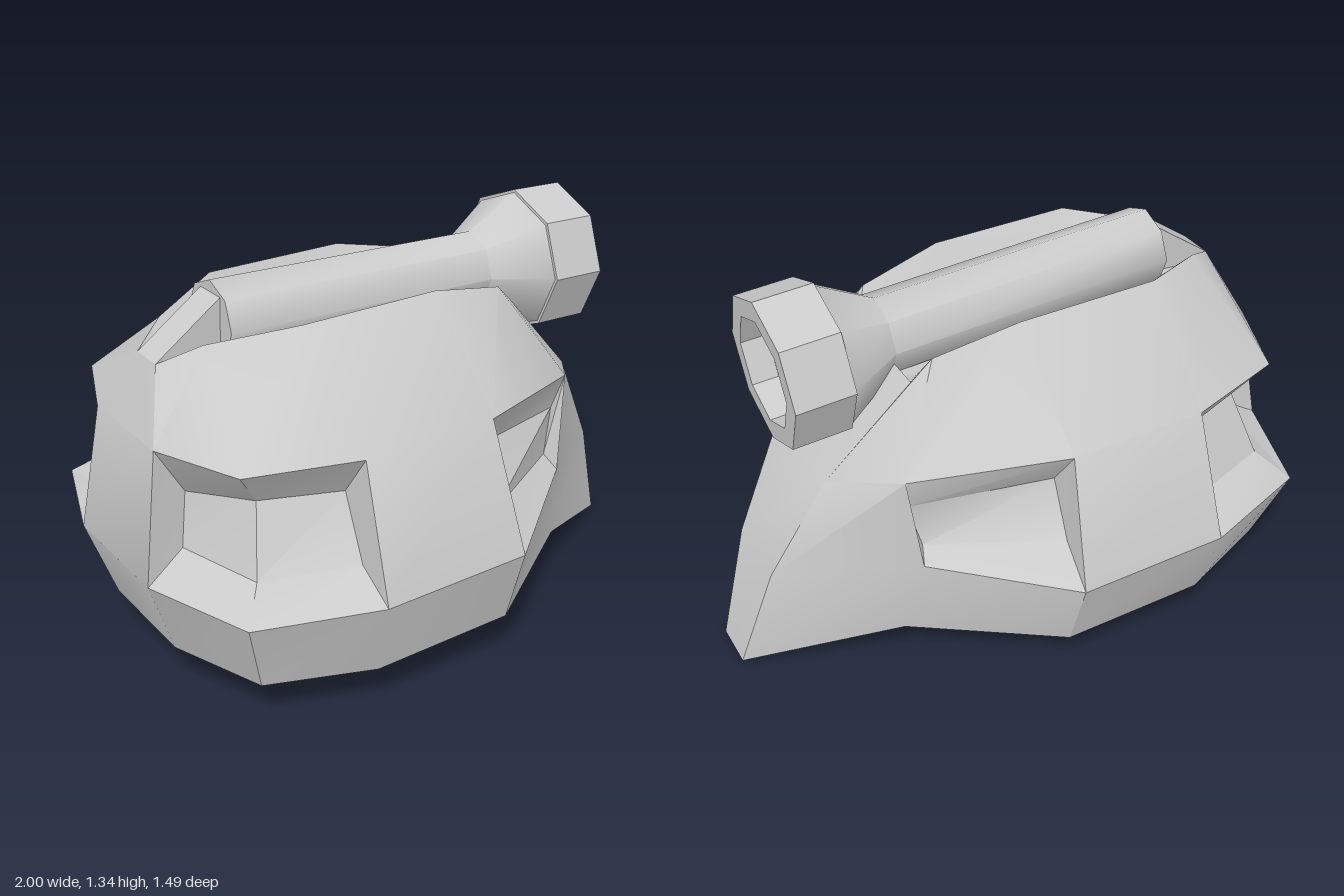
import * as THREE from 'three';
import { toCreasedNormals } from 'three/addons/utils/BufferGeometryUtils.js';

const material = new THREE.MeshStandardMaterial({ color: 0xcccccc });

function addMesh(parent, name, geometry) {
  const mesh = new THREE.Mesh(geometry, material);
  mesh.name = name;
  parent.add(mesh);
  return mesh;
}

// Half of the hull, one cross-section per station from stern to prow.
// Rows: keel, chine, beam, shoulder, ridge, groove; then recess bottom and top.
const [KEEL, CHINE, BEAM, SHOULDER, RIDGE, GROOVE, LOW, HIGH] = [0, 1, 2, 3, 4, 5, 6, 7];
const half = [
  [[-.44, .06, .22], [-.91, .16, .2], [-1, .43, .23], [-.93, .86, .19], [-.84, 1.07, .06], [-.8, 1.04, .05], [-.86, .51, .2], [-.83, .69, .18]],
  [[-.44, .06, .22], [-.79, .16, .53], [-.87, .43, .61], [-.81, .86, .49], [-.72, 1.13, .14], [-.66, 1.05, .08], [-.78, .515, .51], [-.72, .73, .42]],
  [[-.44, .06, .22], [-.45, .16, .665], [-.47, .43, .745], [-.45, .86, .6], [-.46, 1.18, .28], [-.46, 1, .17], [-.47, .515, .61], [-.46, .72, .505]],
  [[.06, .06, .22], [.06, .16, .665], [.06, .43, .745], [.03, .86, .6], [.04, 1.18, .28], [.04, 1, .17], [.05, .54, .61], [.04, .72, .505]],
  [[.06, .06, .22], [.52, .18, .37], [.47, .475, .43], [.51, .81, .4], [.33, 1.12, .245], [.33, 1, .14], [.45, .52, .38], [.49, .68, .36]],
  [[1, 0, .08], [1, 0, .08], [.88, .38, .13], [.69, .74, .19], [.4, 1.05, .235], [.42, 1, .12]],
];

function hullGeometry() {
  // Closed loop of stations: left side forward, right side back
  const mirrored = half.map((s) => s.map(([x, y, z]) => [x, y, -z])).reverse();
  const loop = [...half, ...mirrored];
  const n = loop.length;
  const positions = [];
  const tri = (...p) => {
    const [a, b, c] = p.map((q) => new THREE.Vector3(...q));
    if (b.sub(a).cross(c.sub(a)).length() > 1e-6) positions.push(...p.flat());
  };
  const quad = (a, b, c, d) => { tri(a, b, c); tri(a, c, d); };
  const band = (i, lower, upper) => {
    const s = loop[i], t = loop[(i + 1) % n];
    quad(s[lower], t[lower], t[upper], s[upper]);
  };

  // Outer skin
  for (let i = 0; i < n; i++) {
    for (let row = KEEL; row < GROOVE; row++) if (row !== BEAM) band(i, row, row + 1);
  }
  // Solid panels between the window recesses
  for (const i of [2, 4, 5, 6, 8, 11]) band(i, BEAM, SHOULDER);

  // Window recesses: sill, floor, lintel and end walls
  for (const [first, last] of [[0, 2], [3, 4], [7, 8], [9, 11]]) {
    for (let i = first; i < last; i++) {
      band(i, BEAM, LOW);
      band(i, LOW, HIGH);
      band(i, HIGH, SHOULDER);
    }
    const s = loop[first], e = loop[last];
    quad(s[BEAM], s[LOW], s[HIGH], s[SHOULDER]);
    quad(e[SHOULDER], e[HIGH], e[LOW], e[BEAM]);
  }

  // Underside and floor of the barrel groove
  for (let i = 0; i < 5; i++) {
    const s = loop[i], t = loop[i + 1], sm = loop[n - 1 - i], tm = loop[n - 2 - i];
    quad(sm[KEEL], tm[KEEL], t[KEEL], s[KEEL]);
    quad(s[GROOVE], t[GROOVE], tm[GROOVE], sm[GROOVE]);
  }

  const geometry = new THREE.BufferGeometry();
  geometry.setAttribute('position', new THREE.Float32BufferAttribute(positions, 3));
  return toCreasedNormals(geometry, 0.5);
}

// Eight-sided turned part along +x, from [radius, distance] pairs
function turned(profile, crease) {
  const points = profile.map(([r, d]) => new THREE.Vector2(r, d));
  const geometry = new THREE.LatheGeometry(points, 8).rotateZ(-Math.PI / 2);
  return toCreasedNormals(geometry, crease);
}

export function createModel() {
  const model = new THREE.Group();
  model.name = 'turret';
  addMesh(model, 'hull', hullGeometry());

  // Wedge behind the barrel
  const wedge = new THREE.Shape([
    new THREE.Vector2(-.84, 1.07), new THREE.Vector2(-.6, 1), new THREE.Vector2(-.6, 1.24),
  ]);
  const fairing = new THREE.ExtrudeGeometry(wedge, { depth: .12, bevelEnabled: false });
  addMesh(model, 'barrelFairing', fairing.translate(0, 0, -.06));

  // Slightly lowered gun
  const gun = new THREE.Group();
  gun.name = 'gun';
  gun.position.set(-.615, 1.136, -.005);
  gun.rotation.z = -.04;
  model.add(gun);
  addMesh(gun, 'barrel', turned([[0, 0], [.134, 0], [.134, 1.015], [.25, 1.215]], .85));
  const muzzle = turned([[0, 0], [.255, 0], [.255, .2], [.185, .2], [.185, .11], [0, .11]], .5);
  addMesh(gun, 'muzzle', muzzle).position.x = 1.205;

  return model;
}
